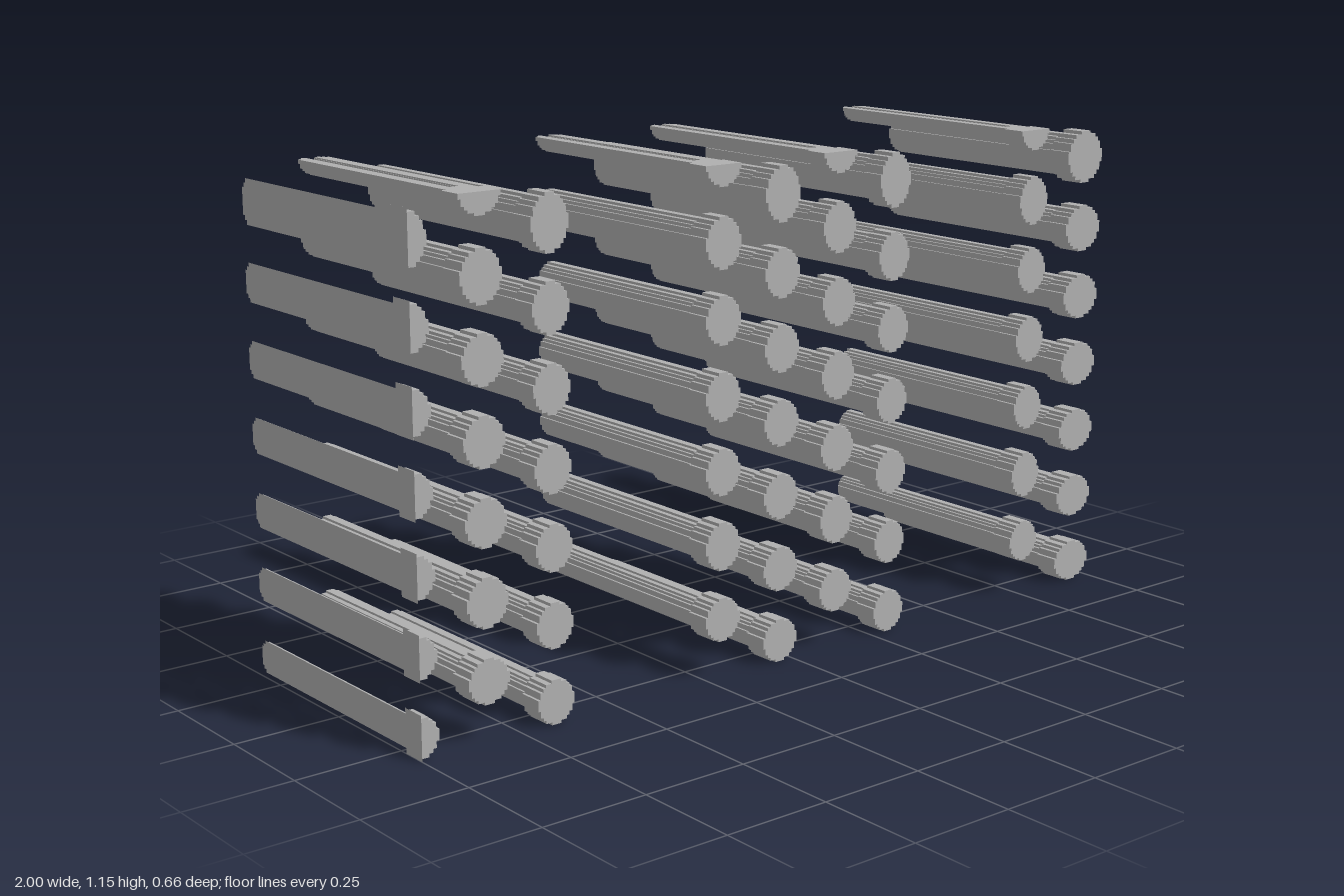
import * as THREE from 'three';
import { mergeGeometries } from 'three/addons/utils/BufferGeometryUtils.js';

const material = new THREE.MeshStandardMaterial({ color: 0xafafaf, flatShading: true });
const HOLE = 0.011;

// Lower half of a stair-stepped ellipse, from left to right
function steppedHalf(rx, ry) {
  const steps = [1, 0.87, 0.72, 0.56, 0.25];
  const quarter = [[1, 0]];
  steps.forEach((x, i) => {
    const y = steps[steps.length - 1 - i];
    quarter.push([x, y]);
    if (i < steps.length - 1) quarter.push([steps[i + 1], y]);
  });
  const left = quarter.map(([x, y]) => new THREE.Vector2(-x * rx, -y * ry));
  const right = quarter.map(([x, y]) => new THREE.Vector2(x * rx, -y * ry)).reverse();
  return [...left, ...right];
}

function steppedRing(rx, ry) {
  const lower = steppedHalf(rx, ry).slice(0, -1);
  return [...lower, ...lower.map((p) => p.clone().negate())];
}

// Cross-section of a rod: whole, cut flat on top, or cut flat on its right-hand side
function section(rx, ry, cut, hollow) {
  if (cut === 'top') {
    const bore = hollow ? steppedHalf(HOLE, HOLE).reverse() : [];
    return new THREE.Shape([...steppedHalf(rx, ry), ...bore]);
  }
  const ring = steppedRing(rx, ry);
  if (cut === 'side') {
    const clipped = ring.map((p) => new THREE.Vector2(Math.max(p.x, 0.014), p.y));
    return new THREE.Shape(clipped.filter((p, i) => !p.equals(clipped[(i + 1) % clipped.length])));
  }
  const shape = new THREE.Shape(ring);
  if (hollow) shape.holes.push(new THREE.Path(steppedRing(HOLE, HOLE)));
  return shape;
}

// Head, solid neck, bored shaft and two stepped end rims, stacked along z
function rodGeometry(headX, headY, cut) {
  const bx = headX - 0.0125, by = headY - 0.0125;
  const layers = [
    [0.27, 0.33, headX, headY, false],
    [0.24, 0.27, bx, by, false],
    [-0.312, 0.24, bx, by, true],
    [-0.32, -0.312, bx * 0.8, by * 0.8, true],
    [-0.327, -0.32, bx * 0.6, by * 0.6, true],
  ];
  return mergeGeometries(layers.map(([z0, z1, rx, ry, hollow]) => {
    const geo = new THREE.ExtrudeGeometry(section(rx, ry, cut, hollow), {
      depth: z1 - z0, bevelEnabled: false,
    });
    return geo.translate(0, 0, z0);
  }));
}

export function createModel() {
  const model = new THREE.Group();
  model.name = 'rodArray';

  // Rows from the bottom up, with the half height of each head
  const lowRows = [0.05, 0.051, 0.052, 0.053, 0.054, 0.056, 0.063];
  const highRows = [0.05, 0.055, 0.053, 0.055, 0.055, 0.058, 0.048];
  const PITCH = 0.17;

  // Columns: centre x, half width of the heads, and whether the rows are staggered upwards
  const columns = [
    { x: -1.014, rx: 0.057, high: false, edge: true },
    { x: -0.832, rx: 0.051, high: true },
    { x: -0.663, rx: 0.047, high: false },
    { x: -0.205, rx: 0.049, high: true },
    { x: -0.036, rx: 0.05, high: false },
    { x: 0.133, rx: 0.049, high: true },
    { x: 0.303, rx: 0.047, high: false },
    { x: 0.762, rx: 0.047, high: true },
    { x: 0.94, rx: 0.06, high: false },
  ];

  columns.forEach(({ x, rx, high, edge }, c) => {
    const column = new THREE.Group();
    column.name = `rodColumn${c + 1}`;
    column.position.x = x;
    (high ? highRows : lowRows).forEach((ry, i, rows) => {
      const last = i === rows.length - 1;
      // The right edge and the top edge slice rods flat
      let cut = 'none';
      if (edge) cut = 'side';
      else if (high && last) cut = 'top';
      const rod = new THREE.Mesh(rodGeometry(rx, ry, cut), material);
      rod.name = cut === 'none' ? 'rod' : 'cutRod';
      const tallLift = !high && last ? 0.006 : 0;
      rod.position.y = (high ? 0.135 : 0.05) + i * PITCH + tallLift;
      column.add(rod);
    });
    model.add(column);
  });

  return model;
}
